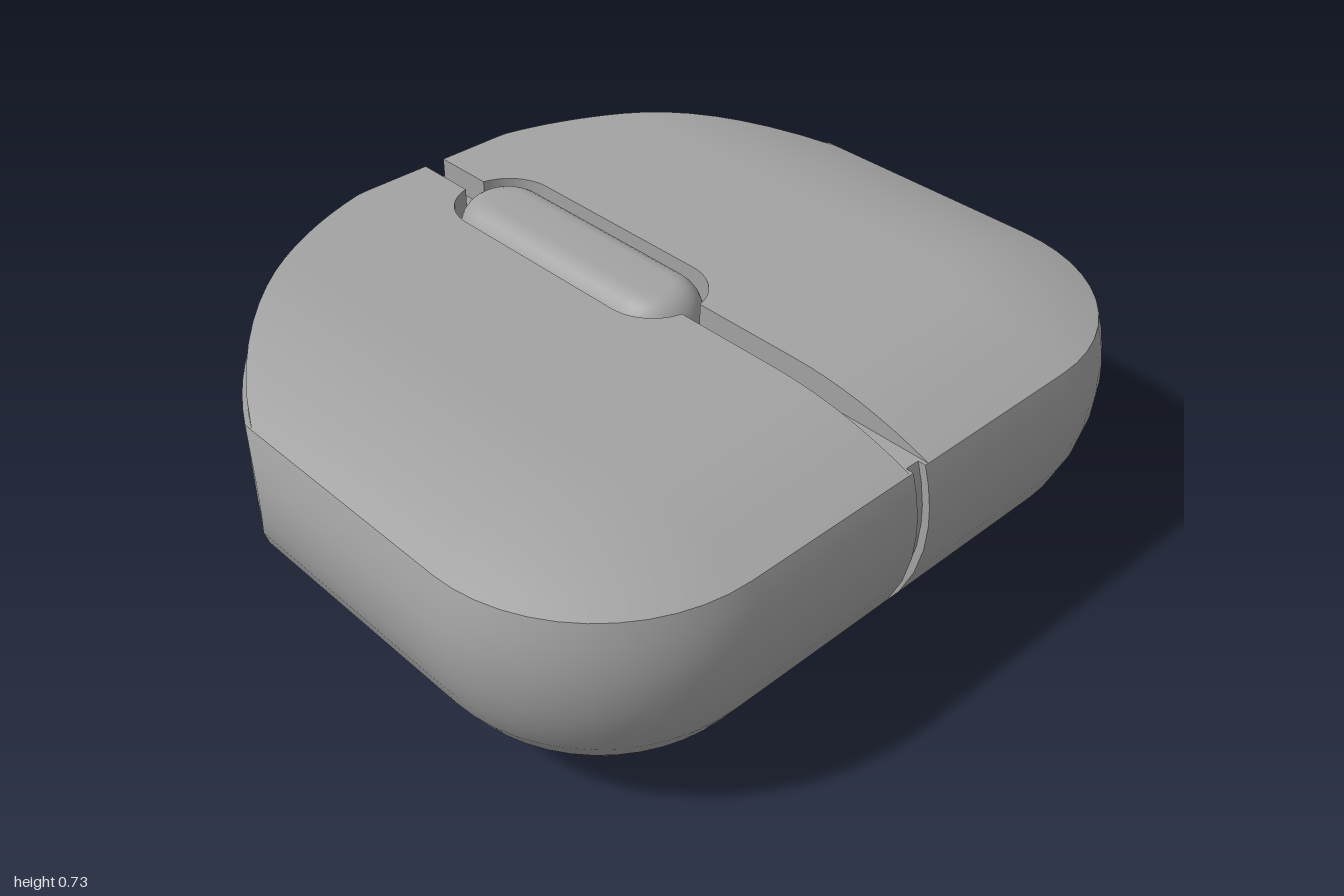
import * as THREE from 'three';
import { toCreasedNormals, mergeGeometries } from 'three/addons/utils/BufferGeometryUtils.js';

const BACK_CENTRE = 0.2;   // z of the centre of the big rear arc
const BACK_RADIUS = 1.085;
const FRONT = 0.88;
const CORNER = 0.48;       // front corner radius, also the side rounding radius

// Points [x, z] of the right half outline, from the front middle round to the back
function halfOutline(inset, radius, xFront, xBack, zLimit = -9) {
  const w = 1 - inset, zf = FRONT - inset, r = CORNER - inset;
  const pts = [[xFront, zf]];
  for (let i = 0; i <= 12; i++) {
    const t = (i / 12) * Math.PI / 2;
    pts.push([w - r + r * Math.sin(t), zf - r + r * Math.cos(t)]);
  }
  const t0 = Math.asin(w / radius), t1 = Math.asin(xBack / radius);
  for (let i = 0; i <= 18; i++) {
    const t = t0 + (t1 - t0) * i / 18;
    pts.push([radius * Math.sin(t), Math.max(zLimit, BACK_CENTRE - radius * Math.cos(t))]);
  }
  return pts;
}

const mirror = (pts) => pts.map(([x, z]) => [-x, z]).reverse();

// Capsule outline lying along z
function stadium(z0, z1, r, n = 14) {
  const pts = [];
  for (const [zc, start] of [[z1, -0.5], [z0, 0.5]])
    for (let i = 0; i <= n; i++) {
      const t = (start + i / n) * Math.PI;
      pts.push([r * Math.sin(t), zc + r * Math.cos(t)]);
    }
  return pts;
}

// Flat cap at height y, facing up or down, with optional holes
function addCap(pos, loop, y, up, holes = []) {
  const v = (l) => l.map(([x, z]) => new THREE.Vector2(x, -z));
  const all = [loop, ...holes].flat();
  for (const [a, b, c] of THREE.ShapeUtils.triangulateShape(v(loop), holes.map(v))) {
    const [p, q, s] = [all[a], all[b], all[c]];
    const ccw = (q[0] - p[0]) * (p[1] - s[1]) - (s[0] - p[0]) * (p[1] - q[1]) > 0;
    for (const k of ccw === up ? [p, q, s] : [p, s, q]) pos.push(k[0], y, k[1]);
  }
}

// Skin through stacked loops; skip(row, column) leaves a gap
function addWalls(pos, loops, ys, skip = () => false) {
  for (let j = 0; j + 1 < loops.length; j++) {
    const lo = loops[j], hi = loops[j + 1], n = lo.length;
    for (let i = 0; i < n; i++) {
      if (skip(j, i)) continue;
      const k = (i + 1) % n;
      const a = [lo[i][0], ys[j], lo[i][1]], b = [lo[k][0], ys[j], lo[k][1]];
      const c = [hi[k][0], ys[j + 1], hi[k][1]], d = [hi[i][0], ys[j + 1], hi[i][1]];
      pos.push(...a, ...b, ...c, ...a, ...c, ...d);
    }
  }
}

function finish(pos) {
  const g = new THREE.BufferGeometry();
  g.setAttribute('position', new THREE.Float32BufferAttribute(pos, 3));
  return toCreasedNormals(g, 0.36);
}

// Recess opening downwards at y = 0
function pocket(z0, z1, r, depth) {
  const pos = [], loop = stadium(z0, z1, r).reverse();
  addWalls(pos, [loop, loop], [0, depth]);
  addCap(pos, loop, depth, false);
  return finish(pos);
}

export function createModel() {
  const group = new THREE.Group();
  const grey = new THREE.MeshStandardMaterial({ color: 0xa3a3a3, side: THREE.DoubleSide });
  grey.name = 'grey plastic';
  const add = (name, geometry) => {
    const mesh = new THREE.Mesh(geometry, grey);
    mesh.name = name;
    group.add(mesh);
    return mesh;
  };

  // Lower body: rounded tub with a thin groove down the front
  const round = (y, r) => r - Math.sqrt(Math.max(0, r * r - (r - y) ** 2));
  const portX = 0.11, portLow = 0.53, portHigh = 0.59, seam = 0.64;
  const ys = [0, 0.004, 0.016, 0.036, 0.065, 0.1, 0.14, 0.19, 0.25, 0.33, 0.41, 0.48, portLow, portHigh, seam];
  let backIndex = 0;
  const loops = ys.map((y) => {
    const right = halfOutline(Math.min(round(y, CORNER), 0.475),
      BACK_RADIUS - (y < 0.33 ? round(y, 0.33) : 0), 0.02, portX);
    backIndex = right.length - 1;
    const zg = right[0][1] - 0.02;
    return [...right, ...mirror(right), [-0.02, zg], [0.02, zg]];
  });
  const body = [];
  const portRow = ys.indexOf(portLow);
  addWalls(body, loops, ys, (j, i) => j === portRow && i === backIndex);
  const switchHole = [-0.36, -0.14, 0.045];
  addCap(body, loops[0], 0, false, [stadium(...switchHole)]);
  addCap(body, loops[loops.length - 1], seam, true);
  add('body', finish(body));

  // Switch recess and slider underneath
  add('switchRecess', pocket(...switchHole, 0.04));
  const slider = add('switchSlider', new THREE.CylinderGeometry(0.036, 0.036, 0.035, 24));
  slider.position.set(0, 0.023, -0.35);

  // Charging port in the rear wall
  const portZ = BACK_CENTRE - Math.sqrt(BACK_RADIUS ** 2 - portX ** 2);
  const portY = (portLow + portHigh) / 2;
  const plate = new THREE.Shape();
  plate.moveTo(-portX, -0.03).lineTo(portX, -0.03).lineTo(portX, 0.03).lineTo(-portX, 0.03);
  plate.holes.push(new THREE.Path(stadium(-0.07, 0.07, 0.025).map(([x, z]) => new THREE.Vector2(z, x))));
  const surround = new THREE.ShapeGeometry(plate).rotateY(Math.PI).toNonIndexed();
  const recess = pocket(-0.07, 0.07, 0.025, 0.06).rotateY(Math.PI / 2).rotateX(Math.PI / 2);
  surround.deleteAttribute('uv');
  add('chargingPort', mergeGeometries([surround, recess])).position.set(0, portY, portZ);

  // Two top shells, parted by the middle slot and the button opening
  const slot = 0.03, openR = 0.135, z0 = -0.54, z1 = 0.015;
  const skew = Math.asin(slot / openR);
  const opening = [];
  for (const [zc, from, to] of [[z0, Math.PI - skew, Math.PI / 2], [z1, Math.PI / 2, skew]])
    for (let i = 0; i <= 12; i++) {
      const t = from + (to - from) * i / 12;
      opening.push([openR * Math.sin(t), zc + openR * Math.cos(t)]);
    }
  const steps = [0, 1, 2, 3, 4, 5, 6, 7, 8].map((i) => i / 8);
  const shellYs = steps.map((s) => 0.715 - 0.075 * (1 - s) ** 2);
  const shellLoops = steps.map((s) =>
    [...halfOutline(0.027 + 0.4 * s, 1.073, slot, slot, -0.845), ...opening]);
  for (const side of ['left', 'right']) {
    const half = side === 'left' ? shellLoops : shellLoops.map(mirror);
    const pos = [];
    addWalls(pos, half, shellYs);
    addCap(pos, half[half.length - 1], 0.715, true);
    add(side + 'TopShell', finish(pos));
  }

  // Pill-shaped button with a rounded top
  const turns = [0, 1, 2, 3, 4, 5, 6, 7, 8].map((i) => (i / 8) * Math.PI / 2);
  const buttonYs = turns.map((t) => 0.64 + 0.09 * Math.sin(t));
  const buttonLoops = turns.map((t) => stadium(z0, z1, 0.05 + 0.075 * Math.cos(t)));
  const button = [];
  addWalls(button, buttonLoops, buttonYs);
  addCap(button, buttonLoops[8], buttonYs[8], true);
  add('button', finish(button));

  return group;
}
